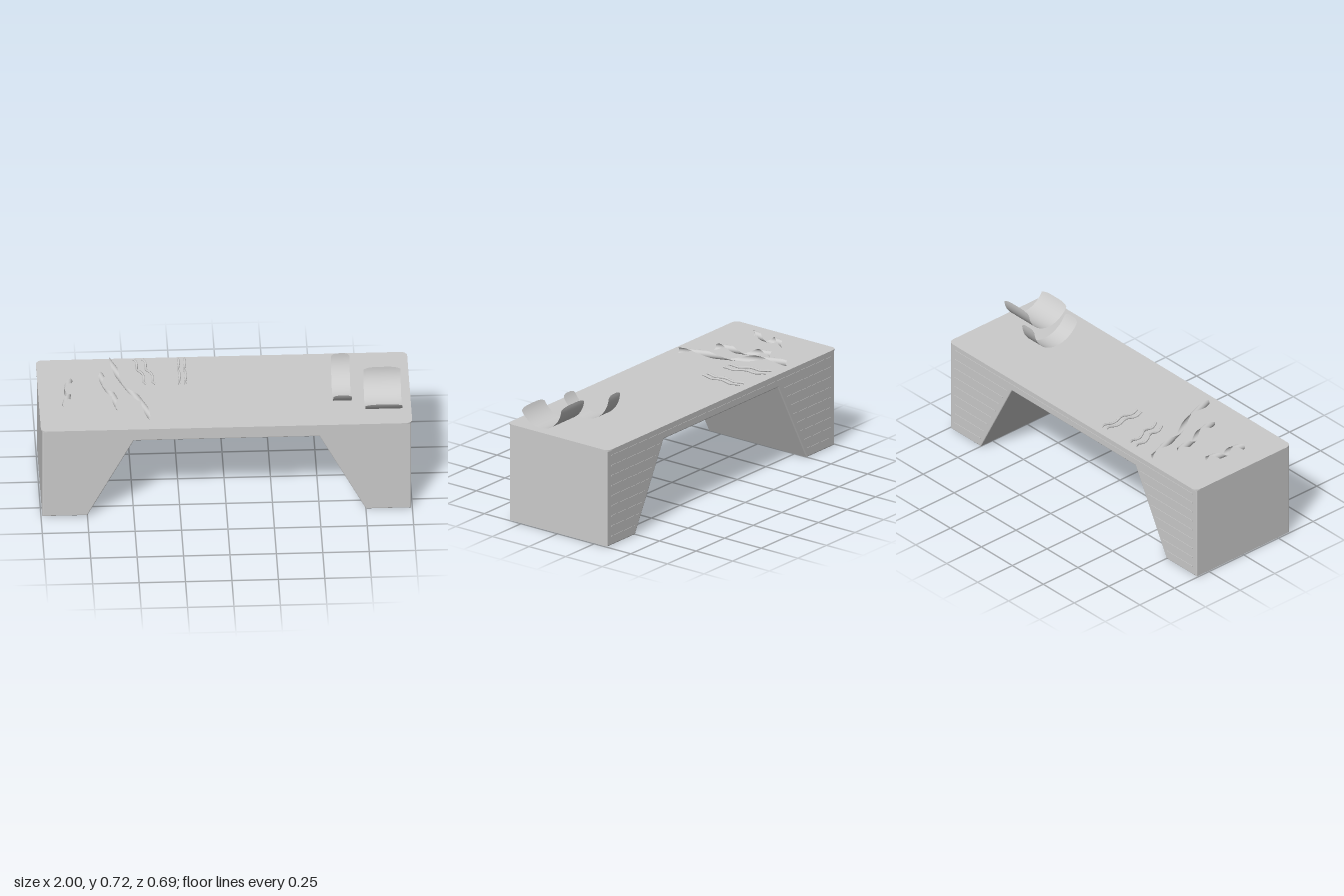
import * as THREE from 'three';

const TOP = 0.555;

export function createModel() {
  const group = new THREE.Group();
  const solid = new THREE.MeshStandardMaterial({ color: 0xcccccc });
  const sheet = new THREE.MeshStandardMaterial({ color: 0xcccccc, side: THREE.DoubleSide });
  const add = (name, geometry, material = solid) => {
    const mesh = new THREE.Mesh(geometry, material);
    mesh.name = name;
    group.add(mesh);
    return mesh;
  };

  // Grid surface from a point rule with u and v running from 0 to 1
  const surface = (rule, nu, nv) => {
    const geo = new THREE.PlaneGeometry(1, 1, nu, nv);
    const pos = geo.attributes.position;
    const uv = geo.attributes.uv;
    for (let i = 0; i < pos.count; i++) pos.setXYZ(i, ...rule(uv.getX(i), uv.getY(i)));
    geo.computeVertexNormals();
    return geo;
  };

  // Bench body: two solid legs with sloping inner faces, joined by a beam
  const half = [[0.5, 0.475], [0.75, 0], [0.993, 0], [0.993, 0.548]];
  const outline = [...half, ...half.map(([x, y]) => [-x, y]).reverse()];
  const bodyShape = new THREE.Shape(outline.map(([x, y]) => new THREE.Vector2(x, y)));
  const bevel = 0.006;
  const body = new THREE.ExtrudeGeometry(bodyShape, {
    depth: 0.67 - 2 * bevel, bevelSize: bevel, bevelThickness: bevel, bevelOffset: -bevel, bevelSegments: 3,
  });
  body.translate(0, 0, -0.335 + bevel);
  add('benchBody', body);

  // Thin top board with rounded corners
  const w = 1, d = 0.346, r = 0.035;
  const board = new THREE.Shape();
  board.moveTo(-w + r, -d);
  board.absarc(w - r, -d + r, r, -Math.PI / 2, 0);
  board.absarc(w - r, d - r, r, 0, Math.PI / 2);
  board.absarc(-w + r, d - r, r, Math.PI / 2, Math.PI);
  board.absarc(-w + r, -d + r, r, Math.PI, Math.PI * 1.5);
  const boardGeo = new THREE.ExtrudeGeometry(board, { depth: 0.008, bevelEnabled: false, curveSegments: 8 });
  boardGeo.rotateX(-Math.PI / 2).translate(0, TOP - 0.008, 0);
  add('topBoard', boardGeo);

  // Fine horizontal ribs on the back of both legs, and one along the beam
  const rib = (x0, x1, y) => {
    add('backRib', new THREE.BoxGeometry(x1 - x0, 0.006, 0.004)).position.set((x0 + x1) / 2, y, -0.335);
  };
  for (let i = 0; i < 8; i++) {
    const y = 0.05 + i * 0.058;
    const inner = 0.78 - (0.25 * y) / 0.475;
    rib(inner, 0.96, y);
    rib(-0.96, -inner, y);
  }
  rib(-0.96, 0.96, 0.514);

  // Wide curled shavings: open arcs with softly rounded ends
  const curl = (name, x, width, z, radius, start) => {
    add(name, surface((u, v) => {
      const s = 2 * u - 1;
      const trim = 0.1 * Math.pow(Math.abs(s), 4);
      const a = THREE.MathUtils.lerp(start + trim, Math.PI - trim, v);
      return [x + (s * width) / 2, TOP + 0.001 + radius - radius * Math.sin(a), z + radius * Math.cos(a)];
    }, 12, 32), sheet);
  };
  curl('narrowCurl', 0.63, 0.1, 0.064, 0.164, 0.4);
  curl('wideCurl', 0.85, 0.2, 0.158, 0.145, 0.42);

  // Twisted shavings: a curved strip turning around a straight axis
  const twist = (name, from, to, turns, phase, arc) => {
    const rad = 0.02;
    add(name, surface((u, v) => {
      const a = phase + turns * Math.PI * 2 * v + arc * (u - 0.5);
      return [
        THREE.MathUtils.lerp(from[0], to[0], v) + rad * Math.cos(a),
        TOP + rad + rad * Math.sin(a),
        THREE.MathUtils.lerp(from[1], to[1], v),
      ];
    }, 8, 64), sheet);
  };
  twist('shortTwist', [-0.832, -0.11], [-0.855, 0.12], 1.5, 0, 1.9);
  twist('middleTwist', [-0.665, -0.165], [-0.57, 0.16], 1.5, 0.5, 1.8);
  twist('longTwist', [-0.62, -0.31], [-0.395, 0.275], 1.5, 0, 1.8);

  // Thin wavy shavings lying in pairs
  const strand = (x0, x1, z0, z1, sway) => {
    const points = [];
    for (let i = 0; i <= 16; i++) {
      const t = i / 16;
      points.push(new THREE.Vector3(
        THREE.MathUtils.lerp(x0, x1, t) + sway * Math.sin(t * Math.PI * 4),
        TOP + 0.012 + 0.005 * Math.sin(t * Math.PI * 4 + 1),
        THREE.MathUtils.lerp(z0, z1, t),
      ));
    }
    add('wavyStrand', new THREE.TubeGeometry(new THREE.CatmullRomCurve3(points), 48, 0.006, 8));
  };
  for (const dx of [0, 0.033]) strand(-0.235 + dx, -0.235 + dx, -0.31, -0.055, 0.004);
  for (const dx of [0, 0.048]) strand(-0.475 + dx, -0.412 + dx, -0.31, -0.065, 0.007);

  return group;
}
